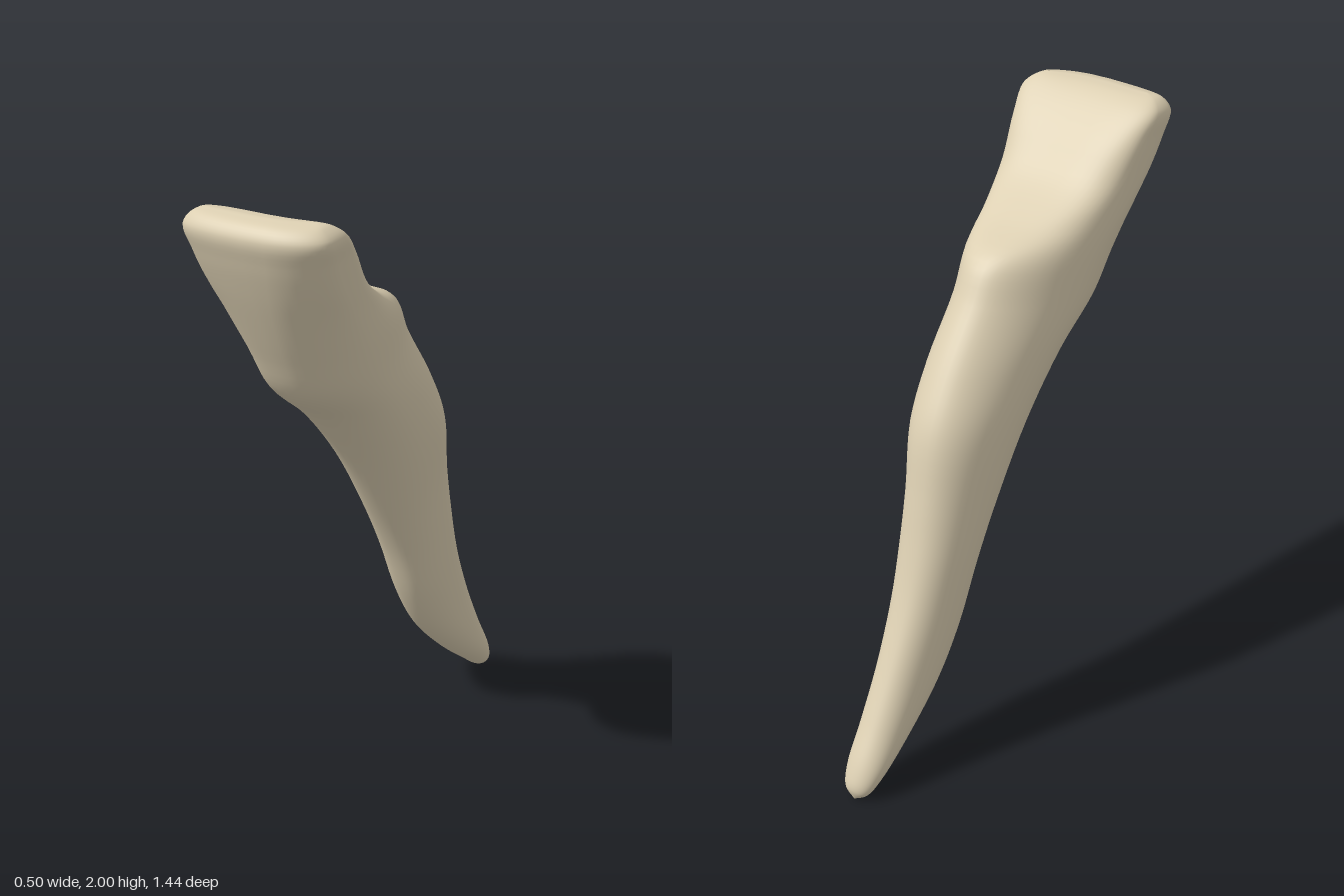
import * as THREE from 'three';
import { mergeVertices } from 'three/addons/utils/BufferGeometryUtils.js';

// Cross-sections from root tip to biting edge:
// front z, y | back z, y | x min, x max | roundness (1 = ellipse, less = boxier) | narrowing towards the back
const SECTIONS = [
  [-0.705, 0.003, -0.705, 0.003, -0.095, -0.095, 1, 0],
  [-0.67, 0.01, -0.717, 0.045, -0.135, -0.055, 1, 0],
  [-0.62, 0.045, -0.695, 0.11, -0.158, -0.032, 1, 0],
  [-0.48, 0.15, -0.62, 0.24, -0.169, -0.015, 0.95, 0],
  [-0.32, 0.30, -0.53, 0.41, -0.174, 0, 0.9, 0],
  [-0.22, 0.45, -0.44, 0.61, -0.18, 0.02, 0.9, 0],
  [-0.13, 0.65, -0.385, 0.78, -0.186, 0.038, 0.9, 0],
  [-0.03, 0.83, -0.345, 0.94, -0.192, 0.06, 0.9, 0.05],
  [0.13, 1.07, -0.295, 1.14, -0.203, 0.105, 0.9, 0.1],
  [0.31, 1.27, -0.205, 1.30, -0.212, 0.138, 0.9, 0.2],
  [0.47, 1.40, -0.07, 1.49, -0.225, 0.165, 0.9, 0.3],
  [0.545, 1.53, 0.01, 1.61, -0.234, 0.188, 0.85, 0.35],
  [0.62, 1.68, 0.18, 1.68, -0.24, 0.205, 0.75, 0.25],
  [0.665, 1.78, 0.34, 1.77, -0.243, 0.22, 0.65, 0.12],
  [0.70, 1.87, 0.46, 1.895, -0.246, 0.236, 0.58, 0.03],
  [0.72, 1.945, 0.545, 1.967, -0.246, 0.246, 0.55, 0],
  [0.695, 1.985, 0.595, 1.993, -0.215, 0.215, 0.55, 0],
  [0.645, 2.0, 0.645, 2.0, -0.17, 0.18, 0.6, 0],
];

// Point of one section at an angle: 0 is the front, a quarter turn is +x
function sectionPoint([fz, fy, bz, by, x0, x1, round, taper], angle) {
  const power = (v) => (Math.abs(v) < 1e-6 ? 0 : Math.sign(v) * Math.abs(v) ** round);
  const side = power(Math.sin(angle));
  const t = (1 - power(Math.cos(angle))) / 2;
  const narrow = 1 - taper * t * t;
  // the biting edge curves back towards +x
  const crown = THREE.MathUtils.smoothstep(fy, 1.4, 1.95);
  const bend = side > 0 ? 0.05 * side * side * crown : 0;
  return new THREE.Vector3(
    (x0 + x1) / 2 + ((x1 - x0) / 2) * side * narrow,
    THREE.MathUtils.lerp(fy, by, t),
    THREE.MathUtils.lerp(fz, bz, t) - bend
  );
}

// Skin the sections with smooth lengthwise curves
function loft(sections, around, along) {
  const positions = [];
  const index = [];
  for (let j = 0; j < around; j++) {
    const angle = (j / around) * Math.PI * 2;
    const curve = new THREE.CatmullRomCurve3(sections.map((s) => sectionPoint(s, angle)));
    for (let i = 0; i <= along; i++) positions.push(...curve.getPoint(i / along).toArray());
  }
  const row = along + 1;
  for (let j = 0; j < around; j++) {
    const next = (j + 1) % around;
    for (let i = 0; i < along; i++) {
      const a = j * row + i;
      const b = next * row + i;
      index.push(a, b, b + 1, a, b + 1, a + 1);
    }
  }
  let geometry = new THREE.BufferGeometry();
  geometry.setAttribute('position', new THREE.Float32BufferAttribute(positions, 3));
  geometry.setIndex(index);
  geometry = mergeVertices(geometry, 1e-5);
  geometry.computeVertexNormals();
  return geometry;
}

export function createModel() {
  const group = new THREE.Group();
  group.name = 'incisorTooth';
  const ivory = new THREE.MeshStandardMaterial({ color: 0xdccfb2 });
  ivory.name = 'ivory';
  const tooth = new THREE.Mesh(loft(SECTIONS, 48, (SECTIONS.length - 1) * 5), ivory);
  tooth.name = 'crownAndRoot';
  group.add(tooth);
  return group;
}
